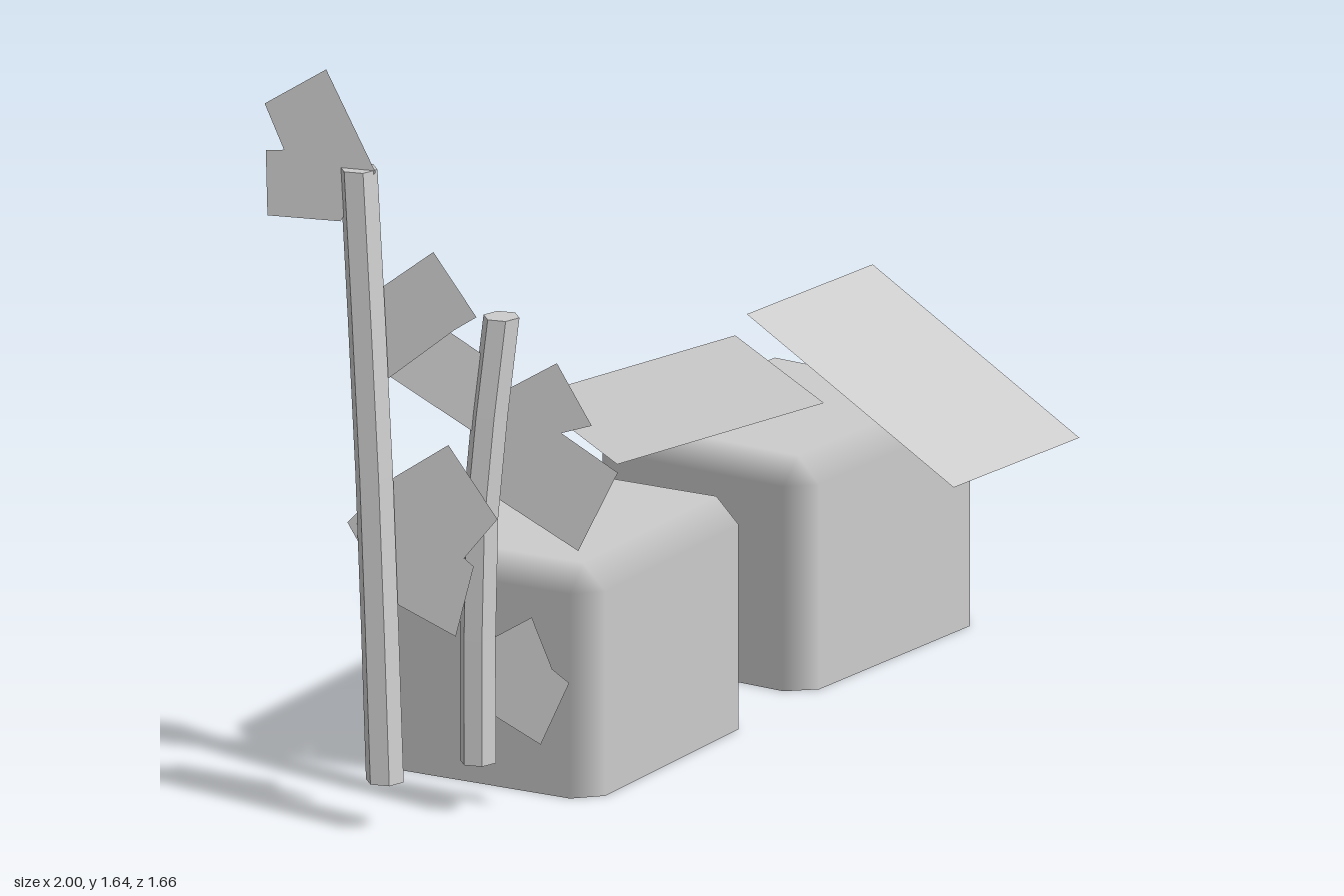
import * as THREE from 'three';

const flat = () => new THREE.MeshStandardMaterial({ color: 0xcccccc, side: THREE.DoubleSide, flatShading: true });
const smooth = () => new THREE.MeshStandardMaterial({ color: 0xcccccc, side: THREE.DoubleSide });

function add(parent, name, geometry, material) {
  const mesh = new THREE.Mesh(geometry, material);
  mesh.name = name;
  parent.add(mesh);
  return mesh;
}

// Bevelled block: a full top, but walls only on its two front sides
function blockGeometry(hx, hz, height, r) {
  const ring = [];
  for (const [sx, sz] of [[1, 1], [-1, 1], [-1, -1], [1, -1]]) {
    const onX = { x: sx * hx, z: sz * (hz - r), n: [sx, 0, 0] };
    const onZ = { x: sx * (hx - r), z: sz * hz, n: [0, 0, sz] };
    for (const p of sx === sz ? [onX, onZ] : [onZ, onX]) {
      ring.push({ ...p, tx: sx * (hx - r), tz: sz * (hz - r) });
    }
  }
  const pos = [], nor = [], idx = [];
  ring.forEach((p) => { pos.push(p.x, 0, p.z); nor.push(...p.n); });
  ring.forEach((p) => { pos.push(p.x, height - r, p.z); nor.push(...p.n); });
  ring.forEach((p) => { pos.push(p.tx, height, p.tz); nor.push(0, 1, 0); });
  const band = (lower, upper, i) => {
    const j = (i + 1) % 8;
    idx.push(lower + j, lower + i, upper + i, lower + j, upper + i, upper + j);
  };
  for (let i = 0; i < 5; i++) band(0, 8, i);
  for (let i = 0; i < 8; i++) band(8, 16, i);
  idx.push(17, 22, 21, 17, 21, 18);
  const g = new THREE.BufferGeometry();
  g.setAttribute('position', new THREE.Float32BufferAttribute(pos, 3));
  g.setAttribute('normal', new THREE.Float32BufferAttribute(nor, 3));
  g.setIndex(idx);
  return g;
}

// Flat four-cornered sheet
function panelGeometry(corners) {
  const g = new THREE.BufferGeometry();
  g.setAttribute('position', new THREE.Float32BufferAttribute(corners.flat(), 3));
  g.setIndex([0, 2, 1, 0, 3, 2]);
  g.computeVertexNormals();
  return g;
}

// Six-sided stalk following a gentle bend
function stalkGeometry(points, radius) {
  const curve = new THREE.CatmullRomCurve3(points.map((p) => new THREE.Vector3(...p)));
  const g = new THREE.CylinderGeometry(radius, radius, 1, 6, 4);
  const p = g.attributes.position;
  for (let i = 0; i < p.count; i++) {
    const c = curve.getPoint(THREE.MathUtils.clamp(p.getY(i) + 0.5, 0, 1));
    p.setXYZ(i, c.x + p.getX(i), c.y, c.z + p.getZ(i));
  }
  g.computeVertexNormals();
  return g;
}

// Leaf outline in x and y, laid on a slanting plane that meets its first point at depth z
function leafGeometry(z, outline, slope = 0.6) {
  const g = new THREE.ShapeGeometry(new THREE.Shape(outline.map((q) => new THREE.Vector2(...q))));
  const [x0, y0] = outline[0];
  const p = g.attributes.position;
  for (let i = 0; i < p.count; i++) {
    p.setZ(i, z + slope * (p.getX(i) - x0) - 0.11 * (p.getY(i) - y0));
  }
  g.computeVertexNormals();
  return g;
}

export function createModel() {
  const model = new THREE.Group();
  model.name = 'blocksAndStalks';

  // Two blocks
  const block = blockGeometry(0.338, 0.28, 0.51, 0.055);
  for (const [name, x, z, turn] of [['frontBlock', -0.293, 0.223, 47], ['backBlock', 0.357, -0.438, 42.5]]) {
    const mesh = add(model, name, block, smooth());
    mesh.position.set(x, 0, z);
    mesh.rotation.y = THREE.MathUtils.degToRad(turn);
  }

  // Tilted sheets over the back block
  add(model, 'lowPanel', panelGeometry([
    [-0.176, 0.53, -0.571], [0.294, 0.61, -0.651], [0.379, 0.594, -0.176], [-0.091, 0.513, -0.096],
  ]), flat());
  add(model, 'steepPanel', panelGeometry([
    [0.625, 0.706, -0.785], [0.998, 0.396, -0.443], [0.62, 0.444, 0.008], [0.246, 0.755, -0.331],
  ]), flat());

  // Tall stalk and its leaves
  const tall = new THREE.Group();
  tall.name = 'tallPlant';
  model.add(tall);
  add(tall, 'tallStalk', stalkGeometry([[-0.793, 0.107, 0.752], [-0.802, 0.77, 0.69], [-0.82, 1.433, 0.62]], 0.042), flat());
  add(tall, 'topLeaf', leafGeometry(0.51, [
    [-1, 1.556], [-0.965, 1.46], [-1, 1.456], [-1, 1.315], [-0.86, 1.317], [-0.79, 1.43], [-0.88, 1.642],
  ]), flat());
  add(tall, 'upperLeaf', leafGeometry(0.708, [
    [-0.677, 1.262], [-0.79, 1.165], [-0.775, 0.975], [-0.64, 1.098], [-0.597, 1.13],
  ]), flat());
  add(tall, 'lowerLeaf', leafGeometry(0.755, [
    [-0.655, 0.845], [-0.76, 0.765], [-0.853, 0.658], [-0.773, 0.497], [-0.65, 0.433],
    [-0.612, 0.588], [-0.63, 0.604], [-0.564, 0.695],
  ]), flat());

  // Short stalk and its leaves
  const short = new THREE.Group();
  short.name = 'shortPlant';
  model.add(short);
  add(short, 'shortStalk', stalkGeometry([[-0.572, 0.112, 0.675], [-0.56, 0.65, 0.645], [-0.508, 1.082, 0.62]], 0.04), flat());
  add(short, 'leftLeaf', leafGeometry(0.55, [
    [-0.74, 0.946], [-0.575, 0.834], [-0.55, 1.0], [-0.65, 1.07],
  ], 0.4), flat());
  add(short, 'rightLeaf', leafGeometry(0.668, [
    [-0.398, 0.984], [-0.5, 0.914], [-0.525, 0.75], [-0.55, 0.7], [-0.366, 0.583],
    [-0.286, 0.76], [-0.393, 0.834], [-0.334, 0.856],
  ]), flat());
  add(short, 'bottomLeaf', leafGeometry(0.686, [
    [-0.457, 0.428], [-0.535, 0.374], [-0.537, 0.21], [-0.446, 0.155], [-0.388, 0.294], [-0.42, 0.32],
  ]), flat());

  return model;
}
